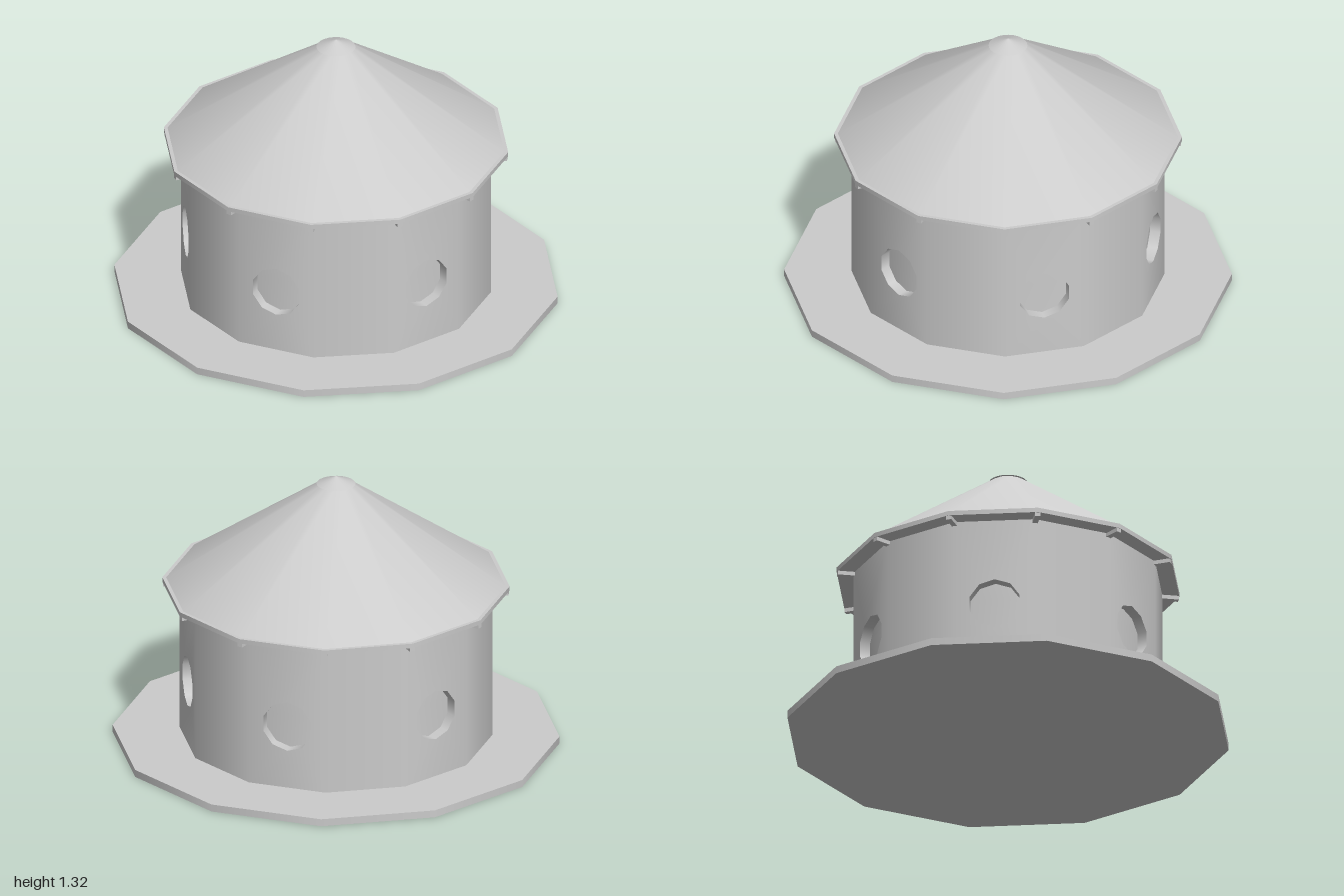
import * as THREE from 'three';

const SIDES = 12;
const STEP = (Math.PI * 2) / SIDES;
const toCorner = (apothem) => apothem / Math.cos(STEP / 2);

export function createModel() {
  const group = new THREE.Group();
  const grey = new THREE.MeshStandardMaterial({ color: 0xcccccc });
  const thin = new THREE.MeshStandardMaterial({ color: 0xcccccc, side: THREE.DoubleSide });

  const add = (name, geometry, material = grey) => {
    const mesh = new THREE.Mesh(geometry, material);
    mesh.name = name;
    group.add(mesh);
    return mesh;
  };

  // Twelve-sided slab or cone, flat sides facing the axes, sizes across the flats
  const prism = (name, top, bottom, y0, y1, open = false) => {
    const g = new THREE.CylinderGeometry(
      toCorner(top), toCorner(bottom), y1 - y0, SIDES, 1, open, STEP / 2);
    g.translate(0, (y0 + y1) / 2, 0);
    return add(name, g);
  };

  // Normals pointing away from the vertical axis shade the wall as one round drum
  const roundNormals = (g) => {
    const p = g.attributes.position;
    const n = new THREE.Vector3();
    for (let i = 0; i < p.count; i++) {
      n.set(p.getX(i), 0, p.getZ(i)).normalize();
      g.attributes.normal.setXYZ(i, n.x, n.y, n.z);
    }
    return g;
  };

  // Base slab
  prism('basePlate', 1, 1, 0, 0.035);

  // Wall panels, every second one with a recessed ten-sided window
  const wall = 0.7, recess = 0.05, wallBottom = 0.03, wallTop = 0.77;
  const windowY = 0.342, windowR = 0.122;
  const half = wall * Math.tan(STEP / 2);
  const windowPoints = [];
  for (let i = 0; i < 10; i++) {
    const a = Math.PI / 2 + (i * Math.PI) / 5;
    windowPoints.push(new THREE.Vector2(windowR * Math.cos(a), windowY + windowR * Math.sin(a)));
  }
  for (let i = 0; i < SIDES; i++) {
    const angle = i * STEP;
    const hasWindow = i % 2 === 0;
    const shape = new THREE.Shape([
      new THREE.Vector2(-half, wallBottom), new THREE.Vector2(half, wallBottom),
      new THREE.Vector2(half, wallTop), new THREE.Vector2(-half, wallTop),
    ]);
    if (hasWindow) shape.holes.push(new THREE.Path(windowPoints));
    const panel = new THREE.ShapeGeometry(shape).translate(0, 0, wall).rotateY(angle);
    add('wallPanel', roundNormals(panel));

    if (hasWindow) {
      const reveal = new THREE.CylinderGeometry(windowR, windowR, recess, 10, 1, true);
      reveal.rotateX(-Math.PI / 2).translate(0, windowY, wall - recess / 2).rotateY(angle);
      add('windowReveal', reveal, thin);
      const pane = new THREE.ShapeGeometry(new THREE.Shape(windowPoints));
      pane.translate(0, 0, wall - recess).rotateY(angle);
      add('windowPane', roundNormals(pane));
    }
  }

  // Eave board with a short rafter end under each corner
  prism('eaveBoard', 0.777, 0.777, 0.763, 0.785);
  for (let i = 0; i < SIDES; i++) {
    const rafter = new THREE.BoxGeometry(0.025, 0.022, 0.12);
    rafter.translate(0, 0.755, 0.74).rotateY((i + 0.5) * STEP);
    add('rafterEnd', rafter);
  }

  // Conical roof and its small round cap
  prism('roof', 0.07, 0.76, 0.785, 1.285);
  add('roofCap', new THREE.ConeGeometry(0.09, 0.038, 24).translate(0, 1.299, 0));

  return group;
}
